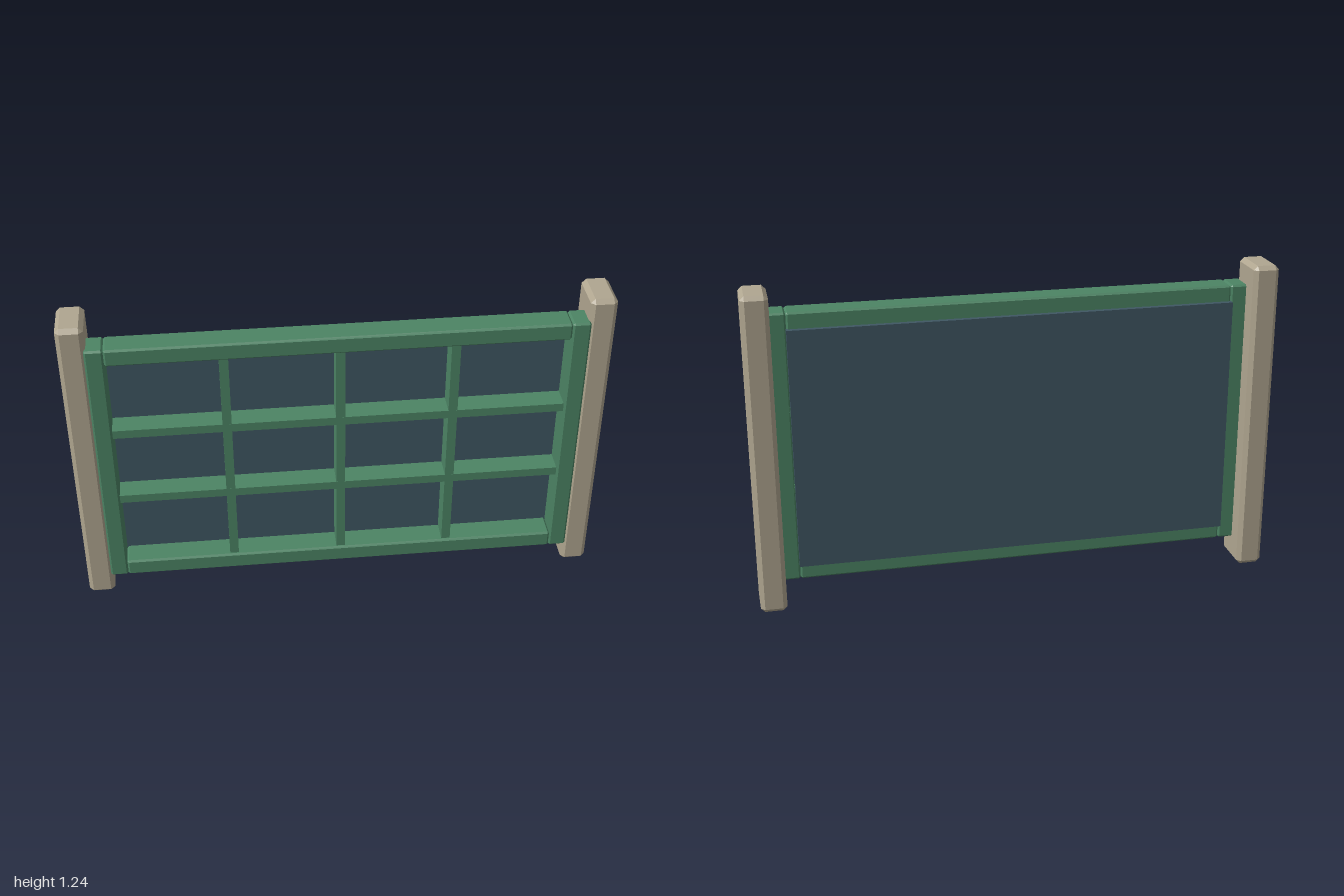
import * as THREE from 'three';
import { ConvexGeometry } from 'three/addons/geometries/ConvexGeometry.js';

const wood = new THREE.MeshStandardMaterial({ name: 'weathered tan', color: 0xb0a690 });
const green = new THREE.MeshStandardMaterial({ name: 'frame green', color: 0x4c8464 });
const slate = new THREE.MeshStandardMaterial({ name: 'panel slate', color: 0x3f5763 });

// Box between two corners with every edge chamfered by c
function chamferBox([x0, y0, z0], [x1, y1, z1], c) {
  const half = [(x1 - x0) / 2, (y1 - y0) / 2, (z1 - z0) / 2];
  const points = [];
  for (const sx of [-1, 1]) for (const sy of [-1, 1]) for (const sz of [-1, 1])
    for (let axis = 0; axis < 3; axis++) {
      const p = half.map((h, i) => (i === axis ? h : h - c));
      points.push(new THREE.Vector3(p[0] * sx, p[1] * sy, p[2] * sz));
    }
  return new ConvexGeometry(points).translate((x0 + x1) / 2, (y0 + y1) / 2, (z0 + z1) / 2);
}

function plainBox([x0, y0, z0], [x1, y1, z1]) {
  return new THREE.BoxGeometry(x1 - x0, y1 - y0, z1 - z0)
    .translate((x0 + x1) / 2, (y0 + y1) / 2, (z0 + z1) / 2);
}

export function createModel() {
  const model = new THREE.Group();
  model.name = 'latticePanel';
  const add = (name, geometry, material) => {
    const mesh = new THREE.Mesh(geometry, material);
    mesh.name = name;
    model.add(mesh);
  };

  // End posts and the upright stiles beside them
  for (const [side, s] of [['left', 1], ['right', -1]]) {
    const span = (a, b) => (s > 0 ? [a, b] : [-b, -a]);
    const [p0, p1] = span(0.9, 1);
    add(`${side}Post`, chamferBox([p0, 0, -0.09], [p1, 1.235, 0.083], 0.016), wood);
    const [q0, q1] = span(0.84, 0.908);
    add(`${side}Stile`, chamferBox([q0, 0.092, -0.01], [q1, 1.147, 0.09], 0.007), green);
  }

  // Top and bottom rails
  add('bottomRail', chamferBox([-0.84, 0.092, -0.01], [0.84, 0.16, 0.09], 0.007), green);
  add('topRail', chamferBox([-0.84, 1.079, -0.01], [0.84, 1.147, 0.09], 0.007), green);

  // Glazing bars
  for (const x of [-0.42, 0, 0.42])
    add('verticalBar', plainBox([x - 0.017, 0.155, -0.012], [x + 0.017, 1.084, 0.079]), green);
  for (const y of [0.467, 0.772])
    add('horizontalBar', plainBox([-0.845, y - 0.017, -0.012], [0.845, y + 0.017, 0.0795]), green);

  // Solid backing panel
  add('backPanel', plainBox([-0.842, 0.152, -0.03], [0.842, 1.086, -0.005]), slate);

  return model;
}
